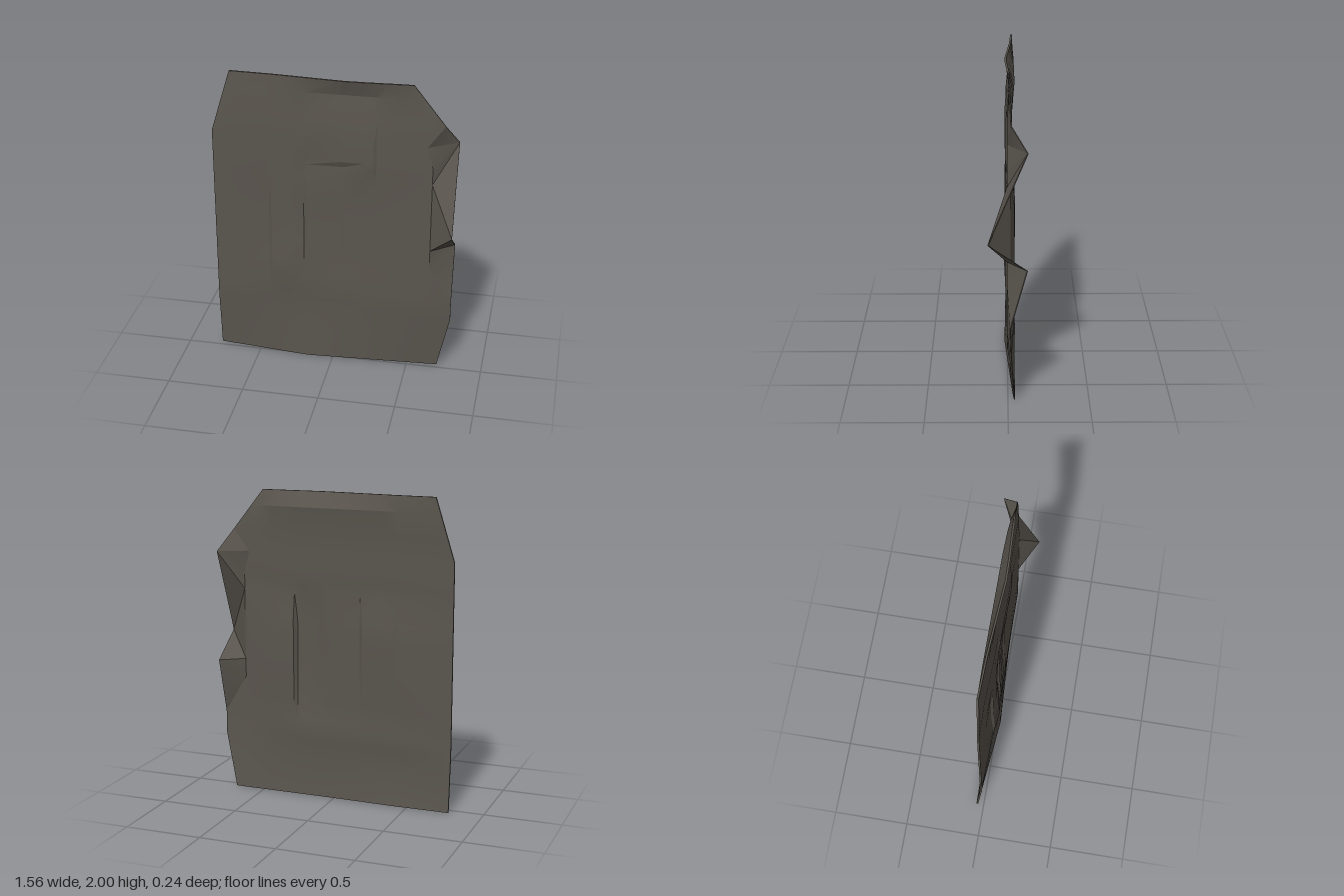
import * as THREE from 'three';
import { toCreasedNormals } from 'three/addons/utils/BufferGeometryUtils.js';

const stone = new THREE.MeshStandardMaterial({ color: 0x5a554e });
stone.name = 'dark stone';

// Piecewise linear lookup in [position, value] pairs
function lerpAt(points, p) {
  for (let i = 1; i < points.length; i++) {
    const [a, va] = points[i - 1], [b, vb] = points[i];
    if (p <= b) return va + (vb - va) * Math.max(0, (p - a) / (b - a));
  }
  return points[points.length - 1][1];
}
const mix = (a, b, w) => a * (1 - w) + b * w;
const bump = (x, y, cx, cy, rx, ry) => Math.exp(-(((x - cx) / rx) ** 2) - ((y - cy) / ry) ** 2);

// Slab outline, and the depth of its thin left, right and top edges
const leftEdge = [[0, -0.78], [1.6, -0.78], [2, -0.66]];
const rightEdge = [[0, 0.7], [0.37, 0.78], [1.6, 0.78], [1.74, 0.7], [2, 0.5]];
const leftZ = [[0, -0.045], [0.4, -0.012], [1.6, -0.012], [2, -0.028]];
const rightZ = [[0, -0.04], [0.37, -0.018], [0.51, -0.015], [0.88, -0.115], [1.04, 0.118],
  [1.6, -0.115], [1.74, -0.02], [2, -0.005]];
const topZ = [[-0.66, -0.028], [-0.4, -0.02], [0.1, 0.015], [0.5, -0.005]];
const columns = [-0.6, -0.42, -0.4, -0.3, -0.19, -0.17, 0.05, 0.07, 0.2, 0.26, 0.28, 0.45];
const rows = [0, 0.22, 0.37, 0.45, 0.51, 0.63, 0.76, 0.88, 1.04, 1.17, 1.35, 1.42, 1.46, 1.6,
  1.74, 1.9, 2];

// Chips on the right edge fan out from a few sharp corners
function chipY(y) {
  if (y > 0.51 && y < 0.88) return 0.51;
  if (y > 1.04 && y < 1.4) return 1.04;
  return y > 1.4 && y < 1.6 ? 1.6 : y;
}
// The bottom edge bends forward in the middle; it fades out upward
const footBlend = [[0, 1], [0.45, 0]];
const frontFoot = [[-0.78, -0.04], [-0.17, 0.018], [0.3, -0.01], [0.7, -0.035]];
const backFoot = [[-0.78, -0.05], [-0.4, -0.056], [0, -0.046], [0.7, -0.045]];

// Front relief: calm stone, with saw-toothed cracks across the middle
const frontCalm = [[-0.78, -0.01], [-0.6, -0.002], [-0.3, 0.01], [0.1, 0.008], [0.63, 0.006]];
const frontCracked = [[-0.6, -0.004], [-0.42, -0.002], [-0.4, 0.012], [-0.3, 0.016], [-0.19, 0.002],
  [-0.17, 0.014], [0.05, -0.002], [0.07, 0.006], [0.28, 0.002], [0.63, 0.006]];
const crackZone = [[0.51, 0], [0.76, 1], [1.17, 1], [1.42, 0]];
const ledge = [[-0.18, 1.6], [0.05, 1.44], [0.28, 1.4]];

function frontZ(x, y) {
  let z = mix(lerpAt(frontCalm, x), lerpAt(frontCracked, x), lerpAt(crackZone, y));
  z += 0.02 * bump(x, y, -0.3, 0.68, 0.13, 0.15);
  z += 0.008 * bump(x, y, -0.05, 0.55, 0.3, 0.12);
  z -= 0.02 * bump(x, y, 0, 1.9, 0.8, 0.1);
  // Slanted overhang
  if (x > -0.18 && x < 0.27 && y > 1.4 && y < 1.7) z += y >= lerpAt(ledge, x) ? 0.009 : -0.005;
  return mix(z, lerpAt(frontFoot, x), lerpAt(footBlend, y));
}

// Back relief: sunken panel beside a step, within a wavy overall depth
const backCalm = [[-0.78, -0.035], [-0.4, -0.045], [0.3, -0.042], [0.45, -0.036], [0.63, -0.017]];
const backPanel = [[-0.6, -0.04], [-0.42, -0.044], [-0.4, -0.052], [-0.19, -0.046], [-0.17, -0.032],
  [0.05, -0.03], [0.07, -0.024], [0.2, -0.012], [0.26, -0.018], [0.28, -0.046], [0.45, -0.042],
  [0.63, -0.017]];
const panelZone = [[0.45, 0], [0.63, 0.7], [0.88, 1], [1.35, 1], [1.46, 0]];
const backLimit = [[0, -0.056], [0.22, -0.028], [0.45, -0.044], [0.51, -0.036], [0.76, -0.042],
  [1.17, -0.052], [1.35, -0.022], [1.46, -0.026], [1.74, -0.024], [1.9, -0.042], [2, -0.03]];

function backZ(x, y) {
  const z = mix(lerpAt(backCalm, x), lerpAt(backPanel, x), lerpAt(panelZone, y));
  return Math.max(mix(z, lerpAt(backFoot, x), lerpAt(footBlend, y)), lerpAt(backLimit, y));
}

function slabGeometry() {
  const n = columns.length + 3, ring = 2 * n, half = 0.003;
  const position = [], index = [];
  for (const y of rows) {
    const left = lerpAt(leftEdge, y), right = lerpAt(rightEdge, y);
    const inner = Math.min(right - 0.07, y > 1.5 ? 0.595 : 0.632);
    const xs = [left, ...columns.map((x) => Math.min(x, inner - 0.08)), inner, right];
    const chip = chipY(y);
    // One side of the slab; both sides meet along the thin edges
    const side = (depth, sign) => xs.map((x, i) => {
      if (i === n - 1) return [lerpAt(rightEdge, chip), chip, lerpAt(rightZ, chip) + sign * half];
      if (i === 0) return [x, y, lerpAt(leftZ, y) + sign * half * 2];
      return [x, y, y === 2 ? lerpAt(topZ, x) + sign * half * 2 : depth(x, y)];
    });
    position.push(...side(frontZ, 1).flat(), ...side(backZ, -1).reverse().flat());
  }
  // Skin around the slab
  for (let j = 0; j < rows.length - 1; j++) {
    for (let k = 0; k < ring; k++) {
      const a = j * ring + k, b = j * ring + (k + 1) % ring;
      // On the back the diagonal is mirrored, so both sides share the chipped corners
      if (k < n) index.push(a, b, b + ring, a, b + ring, a + ring);
      else index.push(a, b, a + ring, b, b + ring, a + ring);
    }
  }
  // Bottom and top faces
  const top = (rows.length - 1) * ring;
  for (let i = 0; i < n - 1; i++) {
    const f = i, g = i + 1, b = ring - 1 - i, c = ring - 2 - i;
    index.push(f, b, c, f, c, g);
    index.push(top + f, top + c, top + b, top + f, top + g, top + c);
  }
  const geometry = new THREE.BufferGeometry();
  geometry.setAttribute('position', new THREE.Float32BufferAttribute(position, 3));
  geometry.setIndex(index);
  return toCreasedNormals(geometry, 0.3);
}

export function createModel() {
  const group = new THREE.Group();
  group.name = 'stoneSlab';
  const slab = new THREE.Mesh(slabGeometry(), stone);
  slab.name = 'weatheredSlab';
  group.add(slab);
  return group;
}
